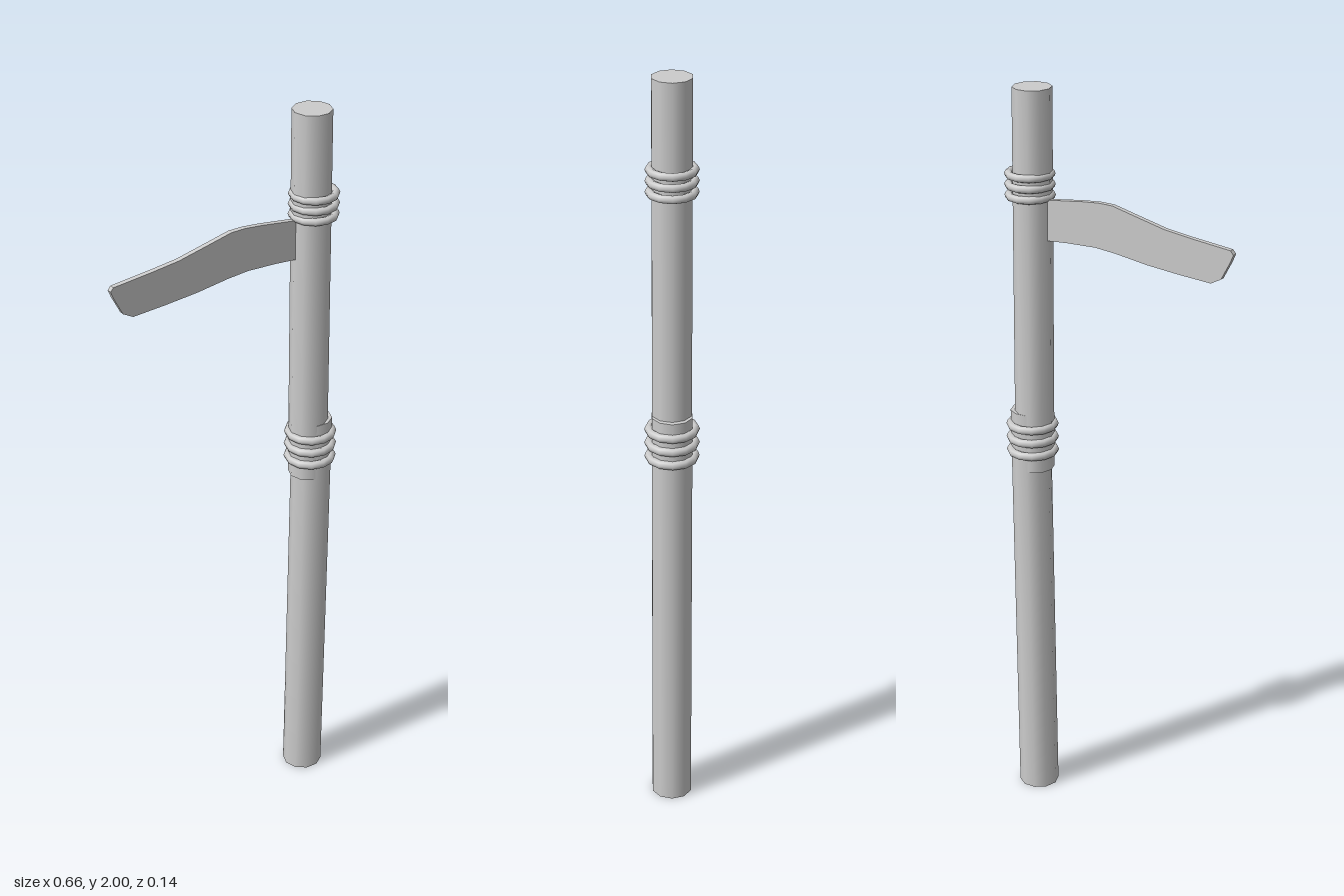
import * as THREE from 'three';

const grey = new THREE.MeshStandardMaterial({ color: 0xcccccc });
grey.name = 'plain grey';

function addMesh(parent, name, geometry) {
  const mesh = new THREE.Mesh(geometry, grey);
  mesh.name = name;
  parent.add(mesh);
  return mesh;
}

// Ten-sided pole with level ends, leaning from x0 at y0 to x1 at y1
function poleGeometry(x0, y0, r0, x1, y1, r1) {
  const geo = new THREE.CylinderGeometry(r1, r0, y1 - y0, 10);
  geo.rotateY(Math.PI / 2);
  geo.translate(0, (y0 + y1) / 2, 0);
  const pos = geo.attributes.position;
  for (let i = 0; i < pos.count; i++) {
    const t = (pos.getY(i) - y0) / (y1 - y0);
    pos.setX(i, pos.getX(i) + x0 + (x1 - x0) * t);
  }
  return geo;
}

// Three stacked rope rings
function addBinding(parent, name, x, y, spacing, radius, tube) {
  const binding = new THREE.Group();
  binding.name = name;
  for (let i = -1; i <= 1; i++) {
    const geo = new THREE.TorusGeometry(radius, tube, 8, 12);
    geo.rotateX(Math.PI / 2);
    addMesh(binding, 'ropeRing', geo).position.set(x, y + i * spacing, 0);
  }
  parent.add(binding);
}

// Flat curved blade held in the upper pole
function bladeGeometry() {
  const outline = [
    [0.25, 1.71], [0.20, 1.715], [0.10, 1.727], [0.05, 1.731], [0.01, 1.73],
    [-0.05, 1.715], [-0.14, 1.693], [-0.22, 1.682], [-0.325, 1.67], [-0.333, 1.66],
    [-0.325, 1.64], [-0.30, 1.592], [-0.272, 1.577], [-0.18, 1.584], [-0.09, 1.593],
    [0.0, 1.607], [0.06, 1.613], [0.14, 1.611], [0.25, 1.604]
  ].map(([x, y]) => new THREE.Vector2(x, y));
  const geo = new THREE.ExtrudeGeometry(new THREE.Shape(outline), { depth: 0.014, bevelEnabled: false });
  geo.translate(0, 0, -0.008);
  return geo;
}

export function createModel() {
  const model = new THREE.Group();
  model.name = 'bladedPole';
  addMesh(model, 'lowerPole', poleGeometry(0.258, 0, 0.054, 0.267, 1.13, 0.053));
  addMesh(model, 'upperPole', poleGeometry(0.256, 0.968, 0.052, 0.2475, 2, 0.051));
  addBinding(model, 'lowerBinding', 0.262, 1.053, 0.037, 0.058, 0.0115);
  addBinding(model, 'upperBinding', 0.258, 1.747, 0.028, 0.055, 0.0105);
  addMesh(model, 'blade', bladeGeometry());
  return model;
}
